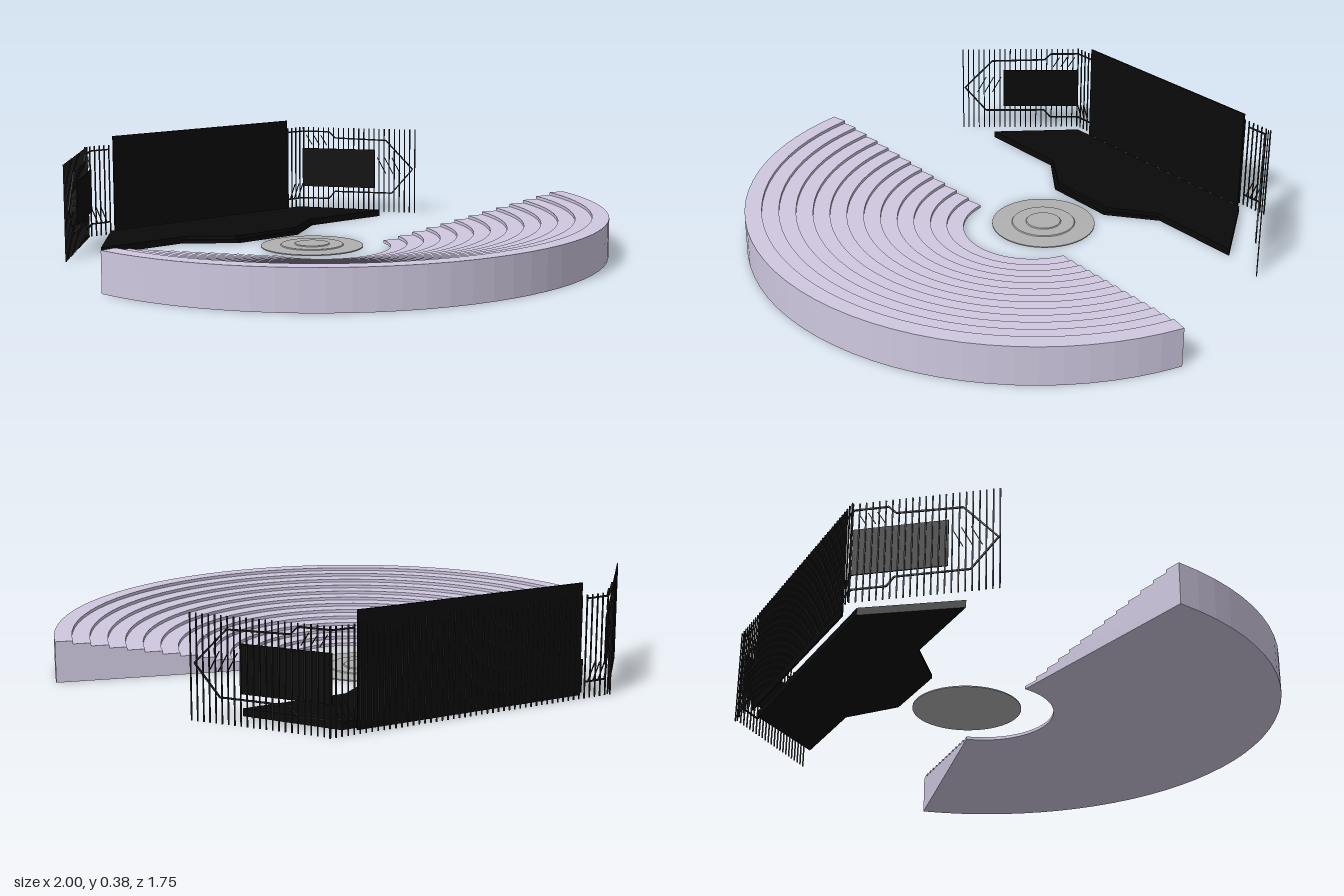
import * as THREE from 'three';

const mat = (color, extra = {}) => new THREE.MeshStandardMaterial({ color, ...extra });

function add(parent, name, geometry, material, x = 0, y = 0, z = 0) {
  const m = new THREE.Mesh(geometry, material);
  m.name = name;
  m.position.set(x, y, z);
  parent.add(m);
  return m;
}

// Thin bar joining two points of a group's xy plane
function stroke(parent, name, [x1, y1], [x2, y2], material, t = 0.005) {
  const len = Math.hypot(x2 - x1, y2 - y1);
  const m = add(parent, name, new THREE.BoxGeometry(len, t, t), material, (x1 + x2) / 2, (y1 + y2) / 2, 0);
  m.rotation.z = Math.atan2(y2 - y1, x2 - x1);
}

// Horizontal slab from an outline of [x, z] points
function slab(parent, name, outline, height, material, y = 0) {
  const shape = new THREE.Shape(outline.map(([x, z]) => new THREE.Vector2(x, -z)));
  const geo = new THREE.ExtrudeGeometry(shape, { depth: height, bevelEnabled: false });
  geo.rotateX(-Math.PI / 2);
  add(parent, name, geo, material, 0, y, 0);
}

function seating() {
  const g = new THREE.Group();
  g.name = 'seating';
  g.position.set(0.007, 0, -0.147);
  const stone = mat(0xcfc8e0, { flatShading: true, side: THREE.DoubleSide });
  const rows = 13, r0 = 0.245, r1 = 1.018, height = 0.14;
  const phi0 = -1.416, phi1 = 1.337;

  // Stepped cross-section, counter-clockwise
  const profile = [new THREE.Vector2(r0, 0), new THREE.Vector2(r1, 0)];
  for (let i = rows; i > 0; i--) {
    const y = height * i / rows;
    profile.push(new THREE.Vector2(r0 + (r1 - r0) * i / rows, y));
    profile.push(new THREE.Vector2(r0 + (r1 - r0) * (i - 1) / rows, y));
  }
  const closed = [...profile, profile[0].clone()];
  const sweep = new THREE.LatheGeometry(closed, 36, phi0, phi1 - phi0);
  add(g, 'seatRows', sweep, stone);

  // End walls
  for (const phi of [phi0, phi1]) {
    const end = add(g, 'seatingEndWall', new THREE.ShapeGeometry(new THREE.Shape(profile)), stone);
    end.rotation.y = phi - Math.PI / 2;
  }
  return g;
}

// Shallow stepped disc
function orchestra() {
  const pts = [[0, 0], [0.186, 0], [0.186, 0.004], [0.115, 0.006], [0.112, 0.009], [0.064, 0.009], [0.061, 0.012], [0, 0.012]]
    .map(([x, y]) => new THREE.Vector2(x, y));
  const m = new THREE.Mesh(new THREE.LatheGeometry(pts, 48), mat(0xb0b0b0, { flatShading: true }));
  m.name = 'orchestraDisc';
  m.position.set(0.005, 0, -0.207);
  return m;
}

function stageHouse() {
  const g = new THREE.Group();
  g.name = 'stageHouse';
  g.position.x = -0.035;
  const black = mat(0x0a0a0a), dark = mat(0x222222);
  const barH = 0.34, barT = 0.004;
  const bar = new THREE.BoxGeometry(barT, barH, barT);

  // Stage floor in two layers, the upper one set back at the front
  const half = (nose, wide) => [[0.44, -0.815], [0.642, -0.545], [wide, -0.545], [0.135, nose]];
  const mirrored = (pts) => [...pts, ...pts.map(([x, z]) => [-x, z]).reverse()];
  slab(g, 'stageBase', mirrored(half(-0.42, 0.3)), 0.012, black);
  slab(g, 'stageFloor', mirrored(half(-0.437, 0.285)), 0.013, black, 0.012);

  // Back wall and the row of bars behind it
  add(g, 'backWall', new THREE.BoxGeometry(0.81, 0.37, 0.006), black, 0, 0.19, -0.848);
  const n = 50;
  for (let i = 0; i <= n; i++) {
    add(g, 'backBar', bar, dark, -0.51 + 1.02 * i / n, barH / 2, -0.873);
  }

  for (const s of [1, -1]) {
    const side = s > 0 ? 'left' : 'right';
    const wing = new THREE.Group();
    wing.name = side + 'Wing';
    wing.position.set(s * 0.495, 0, -0.86);
    wing.rotation.y = Math.atan2(-0.355, s * 0.295);
    g.add(wing);

    // Bars on the outer side, dark panel on the inner side
    const L = 0.462, count = 22;
    for (let i = 0; i <= count; i++) {
      add(wing, 'wingBar', bar, dark, L * i / count, barH / 2, -s * 0.012);
    }
    add(wing, 'wingPanel', new THREE.BoxGeometry(0.3, 0.157, 0.005), black, 0.15, 0.177, 0);

    // Pointed outline around the panel
    const outline = [[0, 0.325], [0.11, 0.325], [0.135, 0.3], [0.345, 0.295], [0.455, 0.18],
      [0.37, 0.08], [0.135, 0.08], [0.11, 0.05], [0, 0.05]];
    for (let i = 1; i < outline.length; i++) stroke(wing, 'wingOutline', outline[i - 1], outline[i], dark);

    // Short slanted strokes at the point and above the panel
    for (let i = 0; i < 3; i++) {
      stroke(wing, 'pointStroke', [0.405 - i * 0.03, 0.16], [0.37 - i * 0.03, 0.225], dark, 0.003);
      stroke(wing, 'upperStroke', [0.1 - i * 0.03, 0.27], [0.075 - i * 0.03, 0.31], dark, 0.003);
    }

    // Short return beside the back wall
    const ret = new THREE.Group();
    ret.name = side + 'Return';
    ret.position.z = -0.86;
    g.add(ret);
    for (const y of [0.325, 0.05]) stroke(ret, 'returnRail', [s * 0.42, y], [s * 0.495, y], dark);
    for (let i = 0; i < 3; i++) {
      const x = 0.43 + i * 0.02;
      stroke(ret, 'returnStroke', [s * x, 0.05], [s * (x + 0.025), 0.11], dark, 0.003);
    }
  }
  return g;
}

export function createModel() {
  const model = new THREE.Group();
  model.name = 'amphitheatre';
  model.add(seating(), orchestra(), stageHouse());
  return model;
}
